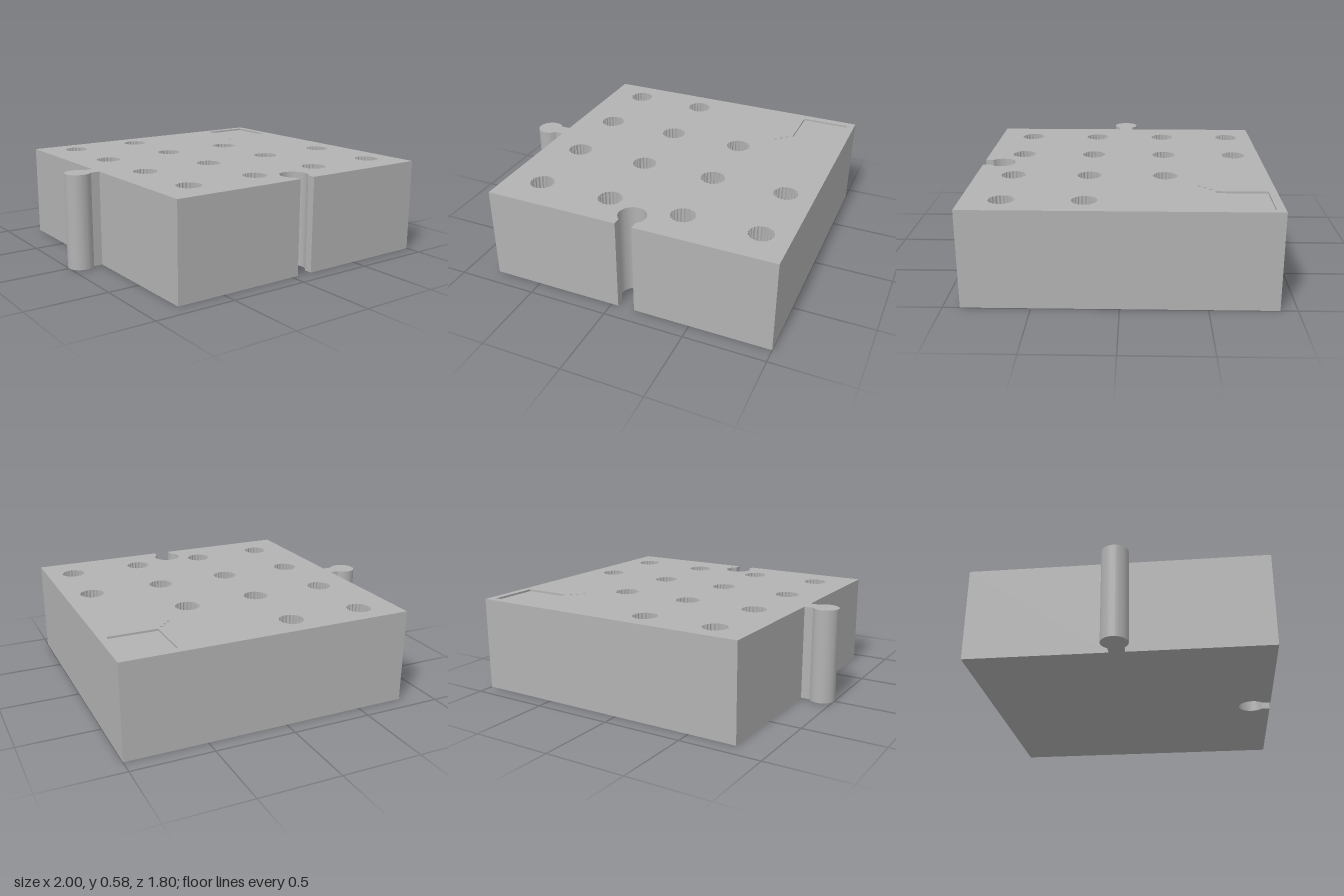
import * as THREE from 'three';
import { mergeGeometries, toCreasedNormals } from 'three/addons/utils/BufferGeometryUtils.js';

const HEIGHT = 0.585, HOLE_FLOOR = 0.1, RECESS_FLOOR = 0.573, DOT_FLOOR = 0.56;

// All plans are loops of (x, z) points.
const p = (x, z) => new THREE.Vector2(x, z);

function arc(cx, cz, r, from, to, n) {
  return Array.from({ length: n + 1 }, (_, i) => {
    const a = from + (to - from) * i / n;
    return p(cx + r * Math.cos(a), cz + r * Math.sin(a));
  });
}

// Closed loop whose radius varies with angle
function ring(cx, cz, n, radius) {
  return Array.from({ length: n }, (_, i) => {
    const a = 2 * Math.PI * i / n, r = radius(a);
    return p(cx + r * Math.cos(a), cz + r * Math.sin(a));
  });
}

// Horizontal face at height y, facing up or down
function cap(loop, y, up, holes = []) {
  const shape = new THREE.Shape(loop);
  shape.holes = holes.map(h => new THREE.Path(h));
  const g = new THREE.ShapeGeometry(shape);
  g.rotateX(Math.PI / 2).translate(0, y, 0);
  if (up) {
    const ix = g.index.array;
    for (let i = 0; i < ix.length; i += 3) [ix[i], ix[i + 1]] = [ix[i + 1], ix[i]];
  }
  const flat = g.toNonIndexed();
  flat.deleteAttribute('uv');
  flat.computeVertexNormals();
  return flat;
}

// Vertical wall around a loop, facing outward, or inward for a pocket
function wall(loop, y0, y1, inward = false) {
  const pts = inward ? [...loop].reverse() : loop;
  const v = [];
  pts.forEach((a, i) => {
    const b = pts[(i + 1) % pts.length];
    if (a.distanceTo(b) < 1e-5) return;
    v.push(a.x, y0, a.y, b.x, y1, b.y, b.x, y0, b.y);
    v.push(a.x, y0, a.y, a.x, y1, a.y, b.x, y1, b.y);
  });
  const g = new THREE.BufferGeometry();
  g.setAttribute('position', new THREE.Float32BufferAttribute(v, 3));
  return toCreasedNormals(g, 0.4);
}

export function createModel() {
  const group = new THREE.Group();
  const grey = new THREE.MeshStandardMaterial({ color: 0xb2b2b2 });
  grey.name = 'grey';
  const add = (name, ...parts) => {
    const mesh = new THREE.Mesh(mergeGeometries(parts), grey);
    mesh.name = name;
    group.add(mesh);
  };

  // Block outline with a round slot at the front and a round tab at the side
  const slotA = Math.acos(0.052 / 0.085), tabA = Math.asin(0.047 / 0.08);
  const outline = [
    p(-0.8, -0.9), p(1, -0.9), p(1, 0.9), p(0.148, 0.9),
    ...arc(0.096, 0.783, 0.085, slotA, -Math.PI - slotA, 48),
    p(0.044, 0.9), p(-0.8, 0.9), p(-0.8, 0.047),
    ...arc(-0.92, 0, 0.08, tabA, 2 * Math.PI - tabA, 48),
    p(-0.8, -0.047),
  ];

  // Fluted holes on a grid, leaving the back corner free
  const pockets = [];
  const xs = [-0.57, -0.105, 0.36, 0.825], zs = [-0.73, -0.265, 0.2, 0.667];
  zs.forEach((z, row) => xs.forEach((x, col) => {
    if (col - row >= 2) return;
    const loop = ring(x, z, 120, a => 0.0695 + 0.006 * Math.abs(Math.sin(10 * a)));
    pockets.push({ name: 'flutedHole', loop, floor: HOLE_FLOOR });
  }));

  // Shallow square recess in the free corner
  const square = [p(0.65, -0.85), p(0.953, -0.85), p(0.953, -0.545), p(0.65, -0.545)];
  pockets.push({ name: 'cornerRecess', loop: square, floor: RECESS_FLOOR });

  // Row of small dots leading to the recess
  for (let i = 0; i < 3; i++) {
    const loop = ring(0.557 + 0.031 * i, -0.461 - 0.031 * i, 16, () => 0.01);
    pockets.push({ name: 'dot', loop, floor: DOT_FLOOR });
  }

  add('block',
    wall(outline, 0, HEIGHT),
    cap(outline, 0, false),
    cap(outline, HEIGHT, true, pockets.map(k => k.loop)));
  for (const { name, loop, floor } of pockets) {
    add(name, wall(loop, floor, HEIGHT, true), cap(loop, floor, true));
  }
  return group;
}
